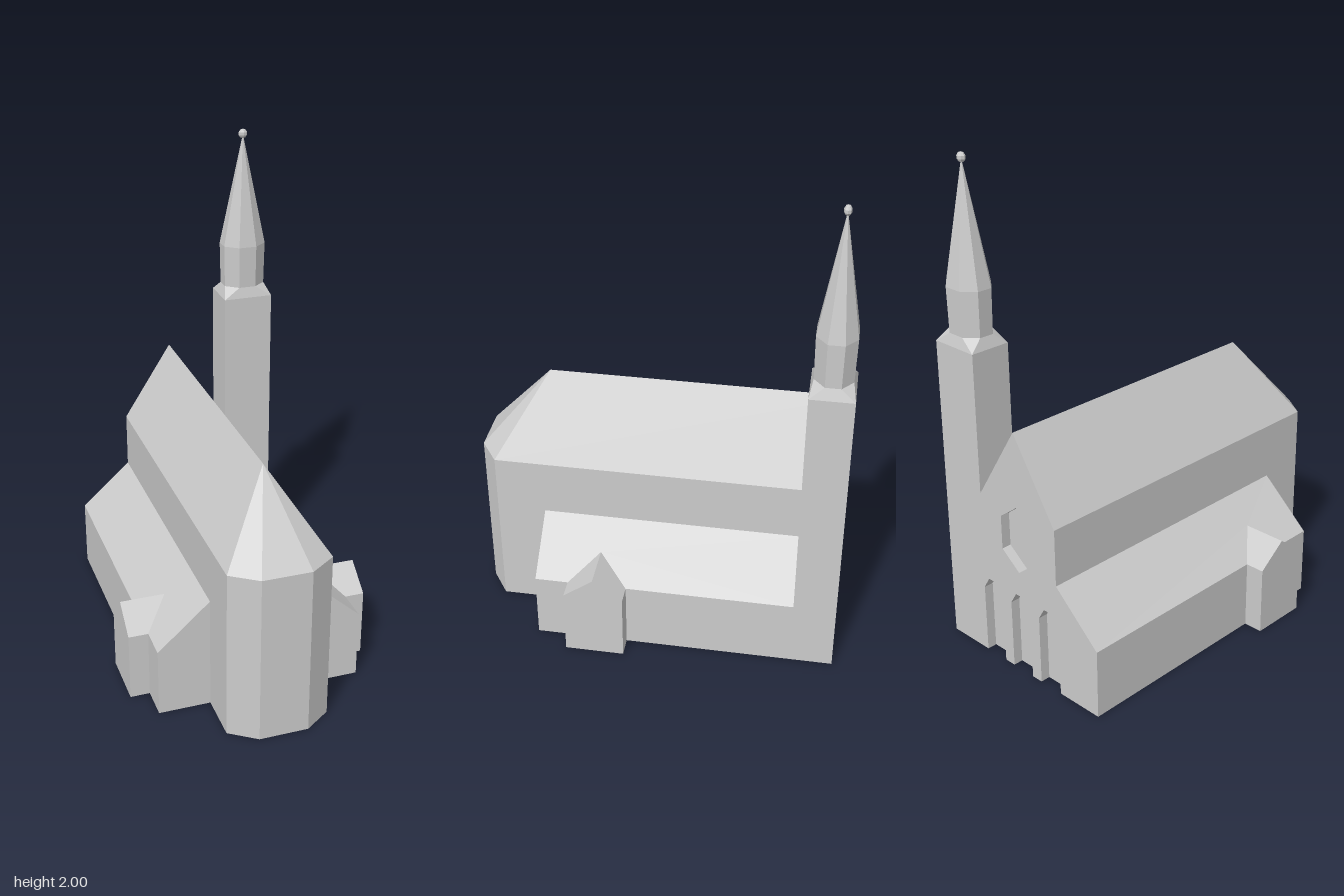
import * as THREE from 'three';

const material = new THREE.MeshStandardMaterial({ color: 0xcccccc, flatShading: true, side: THREE.DoubleSide });

// Main levels and plan lines
const BACK = -0.75, TOWER_Z = -0.58, AISLE_Z = 0.475;
const NAVE_X = 0.208, AISLE_X = 0.42;
const NAVE_EAVE = 0.71, RIDGE = 1.035, AISLE_TOP = 0.475, AISLE_EAVE = 0.285;
const TOWER_TOP = 1.28, RECESS = 0.04;

// Mesh from flat polygons, each fanned from its first corner
function faces(name, polygons) {
  const positions = [];
  for (const p of polygons)
    for (let i = 1; i < p.length - 1; i++) positions.push(...p[0], ...p[i], ...p[i + 1]);
  const geometry = new THREE.BufferGeometry();
  geometry.setAttribute('position', new THREE.Float32BufferAttribute(positions, 3));
  geometry.computeVertexNormals();
  const mesh = new THREE.Mesh(geometry, material);
  mesh.name = name;
  return mesh;
}

// Copy polygons to the given side of x = 0, keeping them facing outwards
const onSide = (side, polygons) => side > 0 ? polygons : polygons.map(([first, ...rest]) =>
  [first, ...rest.reverse()].map(([x, y, z]) => [-x, y, z]));

// Flat outline facing -z
function backPanel(name, points, z, holes = []) {
  const flip = (list) => list.map(([x, y]) => new THREE.Vector2(-x, y));
  const shape = new THREE.Shape(flip(points));
  for (const h of holes) shape.holes.push(new THREE.Path(flip(h)));
  const mesh = new THREE.Mesh(new THREE.ShapeGeometry(shape).rotateY(Math.PI).translate(0, 0, z), material);
  mesh.name = name;
  return mesh;
}

// Skin between stacked rings of equal length
function loft(name, rings) {
  const polygons = [];
  for (let r = 0; r < rings.length - 1; r++) {
    const a = rings[r], b = rings[r + 1];
    a.forEach((p, i) => {
      const j = (i + 1) % a.length;
      polygons.push([p, b[i], b[j]], [p, b[j], a[j]]);
    });
  }
  return faces(name, polygons);
}

function createNave() {
  const nave = new THREE.Group();
  nave.name = 'nave';
  const apex = [0, RIDGE, AISLE_Z];
  const plan = [[NAVE_X, 0.675], [0.1, 0.75], [-0.1, 0.75], [-NAVE_X, 0.675]];
  const walls = [], roof = [];
  // Polygonal apse with a fan roof
  for (let i = 0; i < 3; i++) {
    const [x0, z0] = plan[i + 1], [x1, z1] = plan[i];
    walls.push([[x0, 0, z0], [x1, 0, z1], [x1, NAVE_EAVE, z1], [x0, NAVE_EAVE, z0]]);
    roof.push([apex, [x0, NAVE_EAVE, z0], [x1, NAVE_EAVE, z1]]);
  }
  for (const side of [1, -1]) {
    // Clerestory above the aisle, full height beyond it
    walls.push(...onSide(side, [
      [[NAVE_X, AISLE_TOP, AISLE_Z], [NAVE_X, AISLE_TOP, BACK], [NAVE_X, NAVE_EAVE, BACK], [NAVE_X, NAVE_EAVE, AISLE_Z]],
      [[NAVE_X, 0, 0.675], [NAVE_X, 0, AISLE_Z], [NAVE_X, NAVE_EAVE, AISLE_Z], [NAVE_X, NAVE_EAVE, 0.675]],
    ]));
    roof.push(...onSide(side, [
      [[NAVE_X, NAVE_EAVE, 0.675], [NAVE_X, NAVE_EAVE, BACK], [0, RIDGE, BACK], apex],
    ]));
  }
  nave.add(faces('naveWalls', walls), faces('naveRoof', roof));
  return nave;
}

function createAisle(side) {
  const aisle = new THREE.Group();
  aisle.name = side > 0 ? 'leftAisle' : 'rightAisle';
  const end = side > 0 ? TOWER_Z : BACK;
  const X = AISLE_X, E = AISLE_EAVE, out = 0.5, z0 = 0.1, zm = 0.22, z1 = 0.34, top = 0.376;
  const tip = [0.317, top, zm];
  const wall = (x, a, b) => [[x, 0, a], [x, 0, b], [x, E, b], [x, E, a]];
  aisle.add(faces('aisleWalls', onSide(side, [
    wall(X, AISLE_Z, z1),
    wall(X, z0, end),
    [[NAVE_X, 0, AISLE_Z], [X, 0, AISLE_Z], [X, E, AISLE_Z], [NAVE_X, AISLE_TOP, AISLE_Z]],
  ])));
  // Lean-to roof, notched where the porch roof enters
  aisle.add(faces('aisleRoof', onSide(side, [
    [tip, [X, E, z0], [X, E, end], [NAVE_X, AISLE_TOP, end], [NAVE_X, AISLE_TOP, AISLE_Z], [X, E, AISLE_Z], [X, E, z1]],
  ])));
  aisle.add(faces('porchWalls', onSide(side, [
    [[out, 0, z1], [out, 0, z0], [out, E, z0], [out, top, zm], [out, E, z1]],
    [[X, 0, z1], [out, 0, z1], [out, E, z1], [X, E, z1]],
    [[out, 0, z0], [X, 0, z0], [X, E, z0], [out, E, z0]],
  ])));
  aisle.add(faces('porchRoof', onSide(side, [
    [[X, E, z1], [out, E, z1], [out, top, zm], tip],
    [[out, E, z0], [X, E, z0], tip, [out, top, zm]],
  ])));
  return aisle;
}

function createFacade() {
  const facade = new THREE.Group();
  facade.name = 'facade';
  // Chamfered door arches cut up from the ground line
  const arches = [-0.16, 0, 0.16].map((c) =>
    [[-0.055, 0], [-0.055, 0.29], [-0.025, 0.34], [0.025, 0.34], [0.055, 0.29], [0.055, 0]].map(([x, y]) => [c + x, y]));
  const windowOutline = [[0, 0.14], [-0.092, 0.07], [-0.092, -0.07], [0, -0.14], [0.092, -0.07], [0.092, 0.07]]
    .map(([x, y]) => [x, 0.585 + y]);
  const outline = [[AISLE_X, 0], [AISLE_X, TOWER_TOP], [NAVE_X, TOWER_TOP], [NAVE_X, NAVE_EAVE], [0, RIDGE],
    [-NAVE_X, NAVE_EAVE], [-NAVE_X, AISLE_TOP], [-AISLE_X, AISLE_EAVE], [-AISLE_X, 0], ...arches.flat()];
  facade.add(backPanel('facadeWall', outline, BACK, [windowOutline]));
  // Recessed panels and their reveals
  const recess = (name, points, closed) => {
    const reveals = [];
    for (let i = 0; i < points.length - (closed ? 0 : 1); i++) {
      const [ax, ay] = points[i], [bx, by] = points[(i + 1) % points.length];
      reveals.push([[ax, ay, BACK], [bx, by, BACK], [bx, by, BACK + RECESS], [ax, ay, BACK + RECESS]]);
    }
    if (closed) reveals.forEach((p) => p.reverse());
    facade.add(backPanel(name + 'Panel', points, BACK + RECESS), faces(name + 'Reveal', reveals));
  };
  arches.forEach((a) => recess('doorArch', a, false));
  recess('hexagonWindow', windowOutline, true);
  return facade;
}

function createTower() {
  const tower = new THREE.Group();
  tower.name = 'tower';
  const A = NAVE_X, B = AISLE_X, T = TOWER_TOP;
  tower.add(faces('towerWalls', [
    [[B, 0, TOWER_Z], [B, 0, BACK], [B, T, BACK], [B, T, TOWER_Z]],
    [[A, AISLE_TOP, BACK], [A, AISLE_TOP, TOWER_Z], [A, T, TOWER_Z], [A, T, BACK]],
    [[A, AISLE_TOP, TOWER_Z], [B, AISLE_EAVE, TOWER_Z], [B, T, TOWER_Z], [A, T, TOWER_Z]],
  ]));
  // Square shaft top turning into an octagonal lantern and spire
  const cx = (A + B) / 2, cz = (BACK + TOWER_Z) / 2;
  const angles = Array.from({ length: 8 }, (_, i) => Math.PI / 8 + i * Math.PI / 4);
  const square = angles.map((a) =>
    [cx + Math.sign(Math.cos(a)) * (B - A) / 2, T, cz + Math.sign(Math.sin(a)) * (TOWER_Z - BACK) / 2]);
  const octagon = (y, s) => angles.map((a) => [cx + Math.cos(a) * 0.1 * s, y, cz + Math.sin(a) * 0.082 * s]);
  tower.add(loft('broach', [square, octagon(1.325, 0.96)]));
  tower.add(loft('lantern', [octagon(1.325, 0.96), octagon(1.505, 1)]));
  tower.add(loft('spire', [octagon(1.505, 1), octagon(1.965, 0.03)]));
  const ball = new THREE.Mesh(new THREE.SphereGeometry(0.02, 8, 5), material);
  ball.name = 'finial';
  ball.scale.z = 0.75;
  ball.position.set(cx, 1.98, cz);
  tower.add(ball);
  return tower;
}

export function createModel() {
  const church = new THREE.Group();
  church.name = 'church';
  church.add(createNave(), createAisle(1), createAisle(-1), createFacade(), createTower());
  return church;
}
